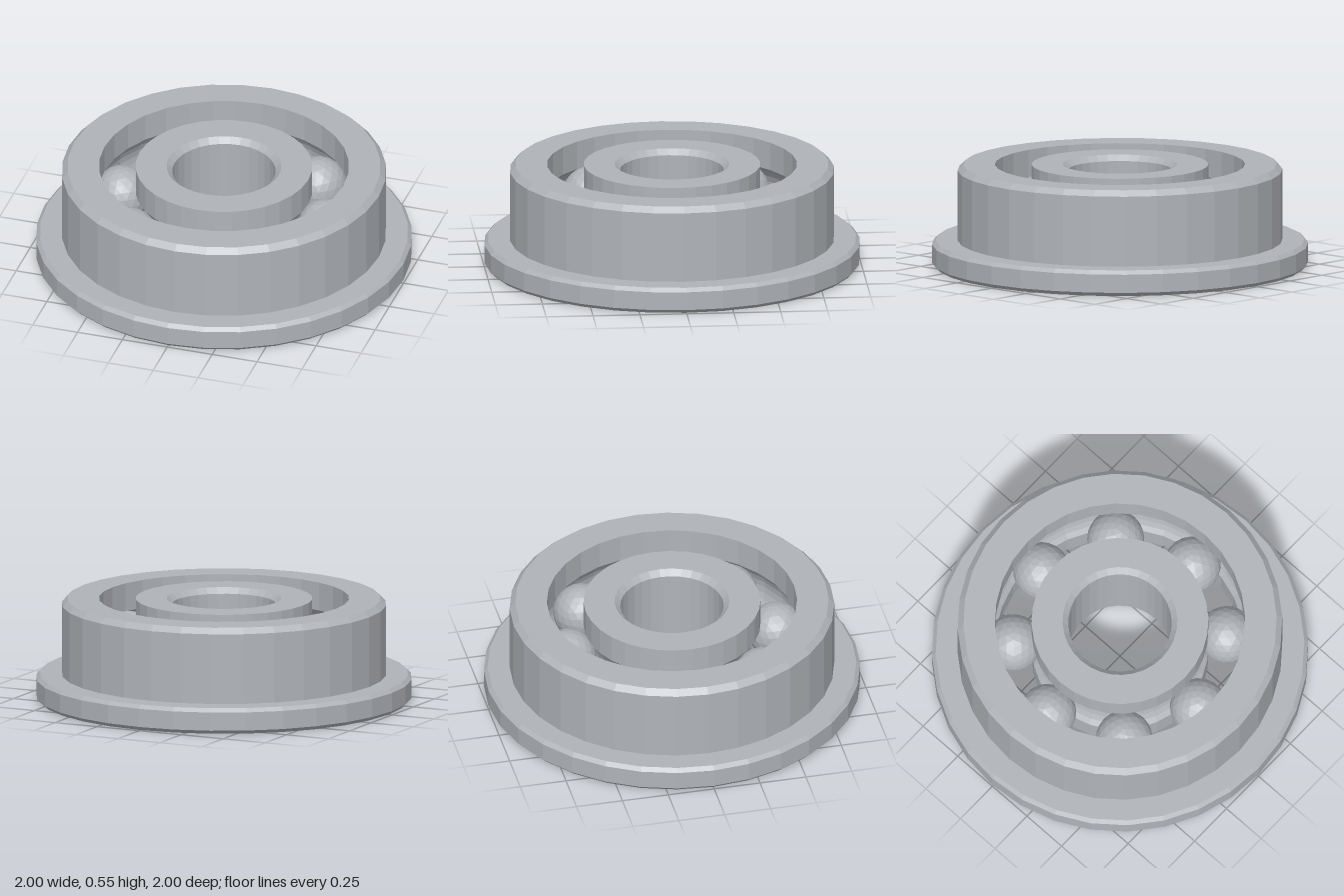
import * as THREE from 'three';

const H = 0.545;        // overall height
const MID = H / 2;      // ball plane
const PITCH = 0.567;    // radius of the ball circle
const BALL = 0.152;
const GROOVE = 0.156;
const SIDES = 32;

// Arc of the race groove, cut into a wall at radius wallR
function groove(wallR, downward) {
  const side = Math.sign(wallR - PITCH);
  const half = Math.acos(Math.abs(wallR - PITCH) / GROOVE);
  const steps = 8;
  const pts = [];
  for (let i = 0; i <= steps; i++) {
    const a = half * (2 * i / steps - 1) * (downward ? -1 : 1);
    pts.push([PITCH + side * GROOVE * Math.cos(a), MID + GROOVE * Math.sin(a)]);
  }
  return pts;
}

// Revolve a closed, counter-clockwise profile into a faceted ring
function ring(name, profile, material) {
  const pts = profile.map(([r, y]) => new THREE.Vector2(r, y));
  const mesh = new THREE.Mesh(new THREE.LatheGeometry(pts, SIDES), material);
  mesh.name = name;
  return mesh;
}

export function createModel() {
  const steel = new THREE.MeshStandardMaterial({ color: 0xb0b4b9, flatShading: true });
  steel.name = 'steel grey';
  const model = new THREE.Group();
  model.name = 'flangedBallBearing';

  // Outer ring with chamfered flange and grooved inner wall
  model.add(ring('outerRing', [
    [0.665, 0], [0.98, 0], [1, 0.02], [1, 0.118], [0.98, 0.138],
    [0.863, 0.138], [0.863, 0.515], [0.833, H], [0.665, H],
    ...groove(0.665, true), [0.665, 0],
  ], steel));

  // Inner ring with grooved outer wall and chamfered bore
  model.add(ring('innerRing', [
    [0.305, 0], [0.47, 0], ...groove(0.47, false), [0.47, H],
    [0.305, H], [0.275, H - 0.03], [0.275, 0.03], [0.305, 0],
  ], steel));

  // Eight balls, each with a vertex pointing up
  const ballGeometry = new THREE.IcosahedronGeometry(BALL, 3);
  ballGeometry.rotateZ(-Math.atan(2 / (1 + Math.sqrt(5))));
  const balls = new THREE.Group();
  balls.name = 'balls';
  for (let i = 0; i < 8; i++) {
    const a = i * Math.PI / 4;
    const ball = new THREE.Mesh(ballGeometry, steel);
    ball.name = 'ball';
    ball.position.set(PITCH * Math.sin(a), MID, PITCH * Math.cos(a));
    ball.rotation.y = a;
    balls.add(ball);
  }
  model.add(balls);
  return model;
}
